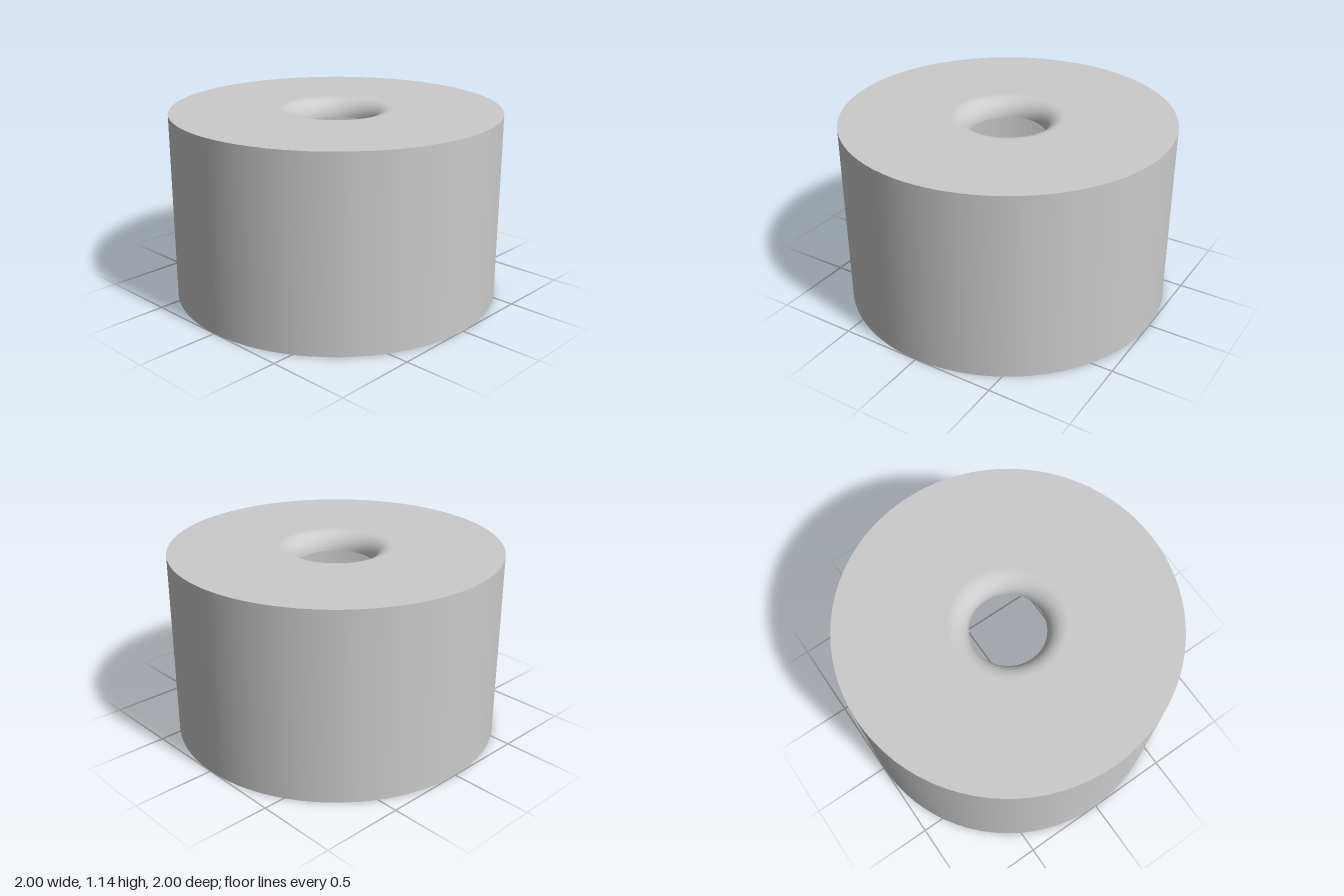
import * as THREE from 'three';

const HEIGHT = 1.145;
const RADIUS = 1;
const HOLE_RADIUS = 0.226;
const LIP_RADIUS = 0.112;
const SEGMENTS = 80;

export function createModel() {
  const group = new THREE.Group();
  group.name = 'openCap';
  const material = new THREE.MeshStandardMaterial({ color: 0xcccccc, side: THREE.DoubleSide });

  const addLathe = (name, points) => {
    const mesh = new THREE.Mesh(new THREE.LatheGeometry(points, SEGMENTS), material);
    mesh.name = name;
    group.add(mesh);
  };

  // Thin cylindrical wall, open at the bottom
  addLathe('sideWall', [new THREE.Vector2(RADIUS, 0), new THREE.Vector2(RADIUS, HEIGHT)]);

  // Flat top
  const lipStart = HOLE_RADIUS + LIP_RADIUS;
  addLathe('topPlate', [new THREE.Vector2(RADIUS, HEIGHT), new THREE.Vector2(lipStart, HEIGHT)]);

  // Quarter-round lip rolling down into the central hole
  const lip = [];
  const steps = 12;
  for (let i = 0; i <= steps; i++) {
    const a = (i / steps) * Math.PI / 2;
    lip.push(new THREE.Vector2(
      lipStart - LIP_RADIUS * Math.sin(a),
      HEIGHT - LIP_RADIUS * (1 - Math.cos(a))
    ));
  }
  addLathe('holeLip', lip);

  return group;
}
